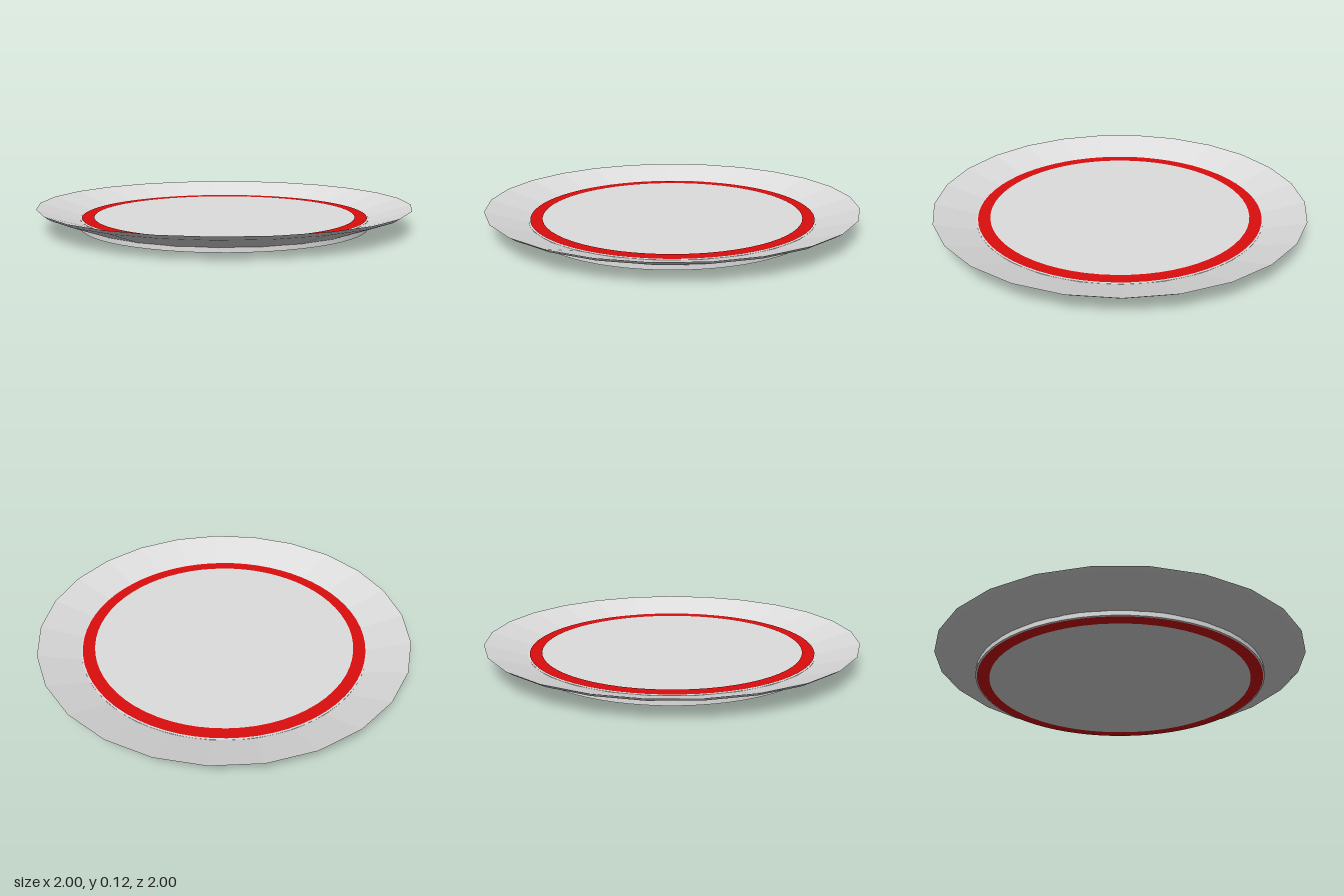
import * as THREE from 'three';

const RIM_SIDES = 25;
const DISC_SIDES = 64;
const points = (list) => list.map(([r, y]) => new THREE.Vector2(r, y));

export function createModel() {
  const plate = new THREE.Group();
  plate.name = 'plate';

  const porcelain = new THREE.MeshStandardMaterial({ name: 'pale grey porcelain', color: 0xdedede });
  const red = new THREE.MeshStandardMaterial({ name: 'red glaze', color: 0xdb0d0d });

  const add = (name, geometry, material, y = 0) => {
    const mesh = new THREE.Mesh(geometry, material);
    mesh.name = name;
    mesh.position.y = y;
    plate.add(mesh);
    return mesh;
  };

  // Flared rim: faceted inside, smooth underside
  const rimPart = (profile) =>
    new THREE.LatheGeometry(points(profile), RIM_SIDES).rotateY(Math.PI / 2);
  const inside = rimPart([[1.002, 0.118], [0.77, 0.045]]).toNonIndexed();
  inside.computeVertexNormals();
  add('rimInside', inside, porcelain);
  add('rimUnderside', rimPart([[0.765, 0.02], [0.97, 0.096], [1.002, 0.118]]), porcelain);

  // Flat centre, whose lower edge forms the foot
  add('centreDisc', new THREE.CylinderGeometry(0.778, 0.778, 0.048, DISC_SIDES), porcelain, 0.026);

  // Painted red band on both faces of the centre
  const band = (tilt) => new THREE.RingGeometry(0.705, 0.77, DISC_SIDES, 1).rotateX(tilt);
  add('topBand', band(-Math.PI / 2), red, 0.053);
  add('bottomBand', band(Math.PI / 2), red, 0);

  // The odd number of rim sides puts the middle slightly off the axis
  plate.position.x = -0.004;
  const model = new THREE.Group();
  model.add(plate);
  return model;
}
